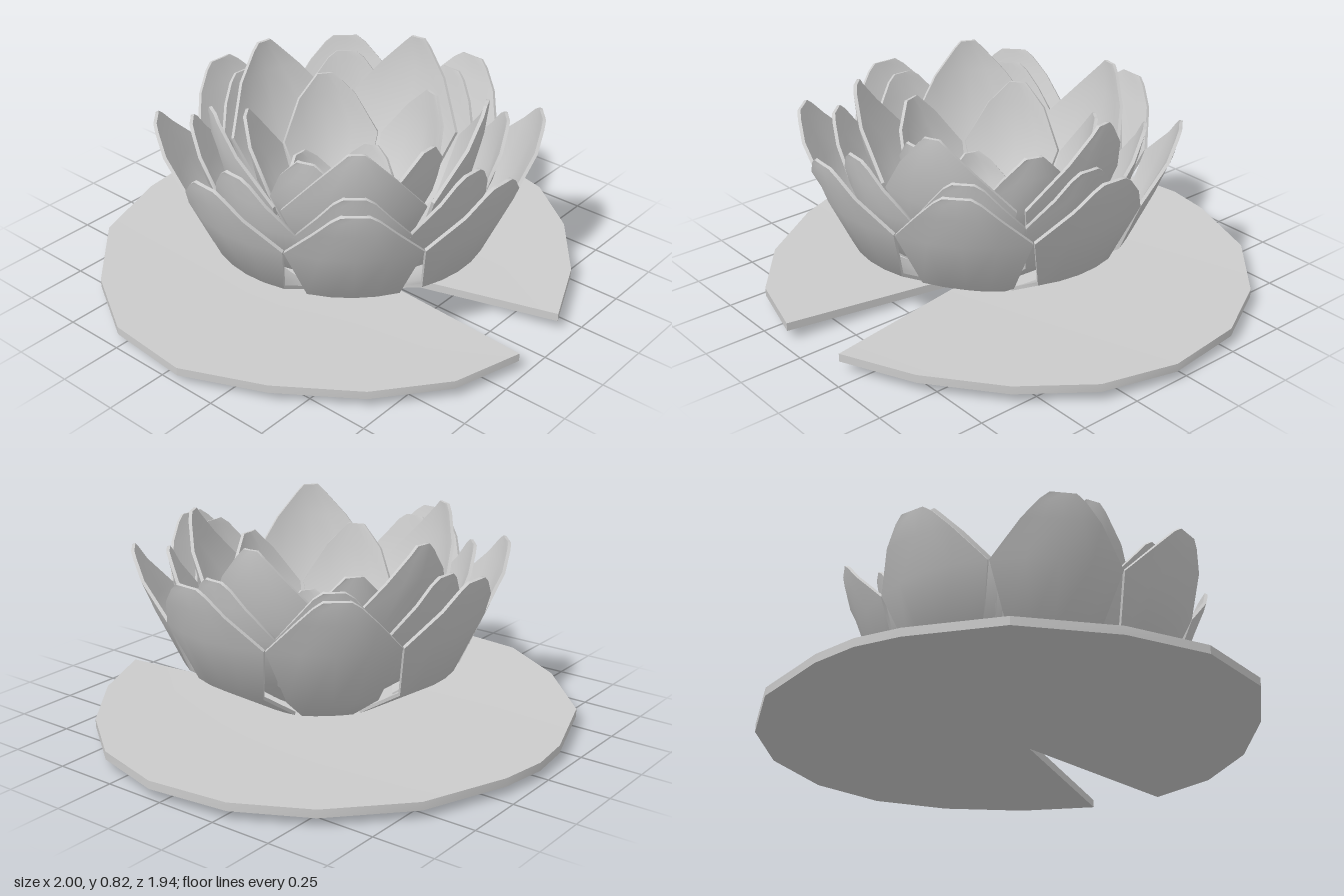
import * as THREE from 'three';
import { toCreasedNormals } from 'three/addons/utils/BufferGeometryUtils.js';

const material = new THREE.MeshStandardMaterial({ color: 0xcccccc });

function makeMesh(name, geometry) {
  const m = new THREE.Mesh(geometry, material);
  m.name = name;
  return m;
}

function fromTriangles(points, index, crease) {
  const g = new THREE.BufferGeometry();
  g.setAttribute('position', new THREE.Float32BufferAttribute(points, 3));
  g.setIndex(index);
  return toCreasedNormals(g, crease);
}

// Cupped petal shell leaning out along +z; each station is [radius, height, half width, cup]
function petalGeometry(stations, thickness) {
  const cols = 5, rows = stations.length, n = cols * rows;
  const points = [], outer = [];
  for (const [r, y, w, cup] of stations) {
    for (let i = 0; i < cols; i++) {
      const s = (2 * i) / (cols - 1) - 1;
      points.push(w * s, y, r - cup * s * s);
    }
  }
  for (let j = 0; j < rows - 1; j++) {
    for (let i = 0; i < cols - 1; i++) {
      const a = j * cols + i, b = a + 1, c = b + cols, d = a + cols;
      outer.push(a, b, c, a, c, d);
    }
  }
  // Inner skin: the outer one pushed in along its normals
  const skin = new THREE.BufferGeometry();
  skin.setAttribute('position', new THREE.Float32BufferAttribute(points, 3));
  skin.setIndex(outer);
  skin.computeVertexNormals();
  const normals = skin.attributes.normal.array;
  for (let k = 0; k < n * 3; k++) points.push(points[k] - normals[k] * thickness);
  const index = [...outer];
  for (let k = 0; k < outer.length; k += 3) index.push(outer[k] + n, outer[k + 2] + n, outer[k + 1] + n);
  // Rim joining both skins
  const rim = [];
  for (let i = 0; i < cols - 1; i++) rim.push(i);
  for (let j = 0; j < rows - 1; j++) rim.push(j * cols + cols - 1);
  for (let i = cols - 1; i > 0; i--) rim.push((rows - 1) * cols + i);
  for (let j = rows - 1; j > 0; j--) rim.push(j * cols);
  rim.forEach((a, k) => {
    const b = rim[(k + 1) % rim.length];
    index.push(a, a + n, b + n, a, b + n, b);
  });
  return fromTriangles(points, index, 0.9);
}

// Ring of equal petals; angles run from +x towards +z
function petalRing(name, count, startDegrees, stations) {
  const ring = new THREE.Group();
  ring.name = name;
  const geometry = petalGeometry(stations, 0.013);
  for (let i = 0; i < count; i++) {
    const petal = makeMesh('petal', geometry);
    petal.rotation.y = Math.PI / 2 - THREE.MathUtils.degToRad(startDegrees + (i * 360) / count);
    ring.add(petal);
  }
  return ring;
}

// Shallow dished leaf with a wedge cut out of the front
function padGeometry() {
  const outline = [
    [-0.03, 0.08], [-0.13, 0.97], [-0.41, 0.89], [-0.66, 0.69], [-0.86, 0.4], [-1, 0.08], [-0.97, -0.27],
    [-0.8, -0.56], [-0.52, -0.83], [-0.17, -0.95], [0.01, -0.97], [0.2, -0.94], [0.54, -0.81],
    [0.81, -0.56], [0.96, -0.28], [1, 0.05], [0.92, 0.35], [0.73, 0.6], [0.46, 0.81], [0.17, 0.94],
  ];
  const n = outline.length, points = [], index = [];
  for (const lift of [0, 0.033]) {
    outline.forEach(([x, z], i) => points.push(x, (i ? 0.038 + 0.006 * z : 0) + lift, z));
  }
  for (let i = 0; i < n; i++) {
    const j = (i + 1) % n;
    if (i && j) index.push(0, i, j, n, n + j, n + i);
    index.push(j, i, i + n, j, i + n, j + n);
  }
  return fromTriangles(points, index, 0.4);
}

export function createModel() {
  const model = new THREE.Group();
  model.name = 'waterLily';
  model.add(makeMesh('lilyPad', padGeometry()));

  const flower = new THREE.Group();
  flower.name = 'flower';
  flower.position.set(-0.03, 0, 0.07);
  flower.add(petalRing('outerPetals', 8, 3, [
    [0.29, 0.09, 0.1, 0.01], [0.56, 0.25, 0.17, 0.03], [0.67, 0.48, 0.25, 0.06],
    [0.72, 0.61, 0.15, 0.015], [0.74, 0.68, 0.085, 0.005], [0.745, 0.705, 0.05, 0],
  ]));
  flower.add(petalRing('secondPetals', 8, 3, [
    [0.22, 0.1, 0.08, 0.01], [0.46, 0.27, 0.15, 0.03], [0.56, 0.48, 0.215, 0.055],
    [0.59, 0.6, 0.13, 0.015], [0.605, 0.67, 0.075, 0.005], [0.61, 0.695, 0.04, 0],
  ]));

  // Inner whorls sit a little behind the outer ones
  const heart = new THREE.Group();
  heart.name = 'flowerHeart';
  heart.position.set(0.01, 0, -0.02);
  heart.add(petalRing('tallPetals', 5, -8, [
    [0.16, 0.1, 0.08, 0.01], [0.38, 0.27, 0.18, 0.05], [0.49, 0.52, 0.27, 0.09],
    [0.53, 0.69, 0.15, 0.03], [0.54, 0.79, 0.06, 0.005], [0.54, 0.82, 0.03, 0],
  ]));
  heart.add(petalRing('innerPetals', 5, 18, [
    [0.11, 0.11, 0.06, 0.01], [0.27, 0.26, 0.14, 0.04], [0.36, 0.45, 0.2, 0.07],
    [0.39, 0.6, 0.12, 0.02], [0.4, 0.69, 0.035, 0],
  ]));
  heart.add(petalRing('heartPetals', 5, 54, [
    [0.07, 0.12, 0.04, 0.01], [0.18, 0.22, 0.09, 0.025], [0.24, 0.33, 0.13, 0.045],
    [0.255, 0.4, 0.08, 0.015], [0.26, 0.44, 0.03, 0],
  ]));

  // Stepped seed head in the middle
  const steps = [[0.06, 0.1], [0.1, 0.2], [0.12, 0.27], [0.1, 0.29], [0.085, 0.27], [0.07, 0.3], [0.03, 0.31], [0, 0.3]];
  const seedHead = new THREE.LatheGeometry(steps.map(([r, y]) => new THREE.Vector2(r, y)), 12);
  const head = makeMesh('seedHead', toCreasedNormals(seedHead, 0.6));
  head.position.set(0.02, 0, -0.01);
  heart.add(head);
  flower.add(heart);

  // Short base joining the flower to the pad
  const base = makeMesh('flowerBase', new THREE.CylinderGeometry(0.19, 0.1, 0.08, 10));
  base.position.y = 0.065;
  flower.add(base);
  model.add(flower);
  return model;
}
